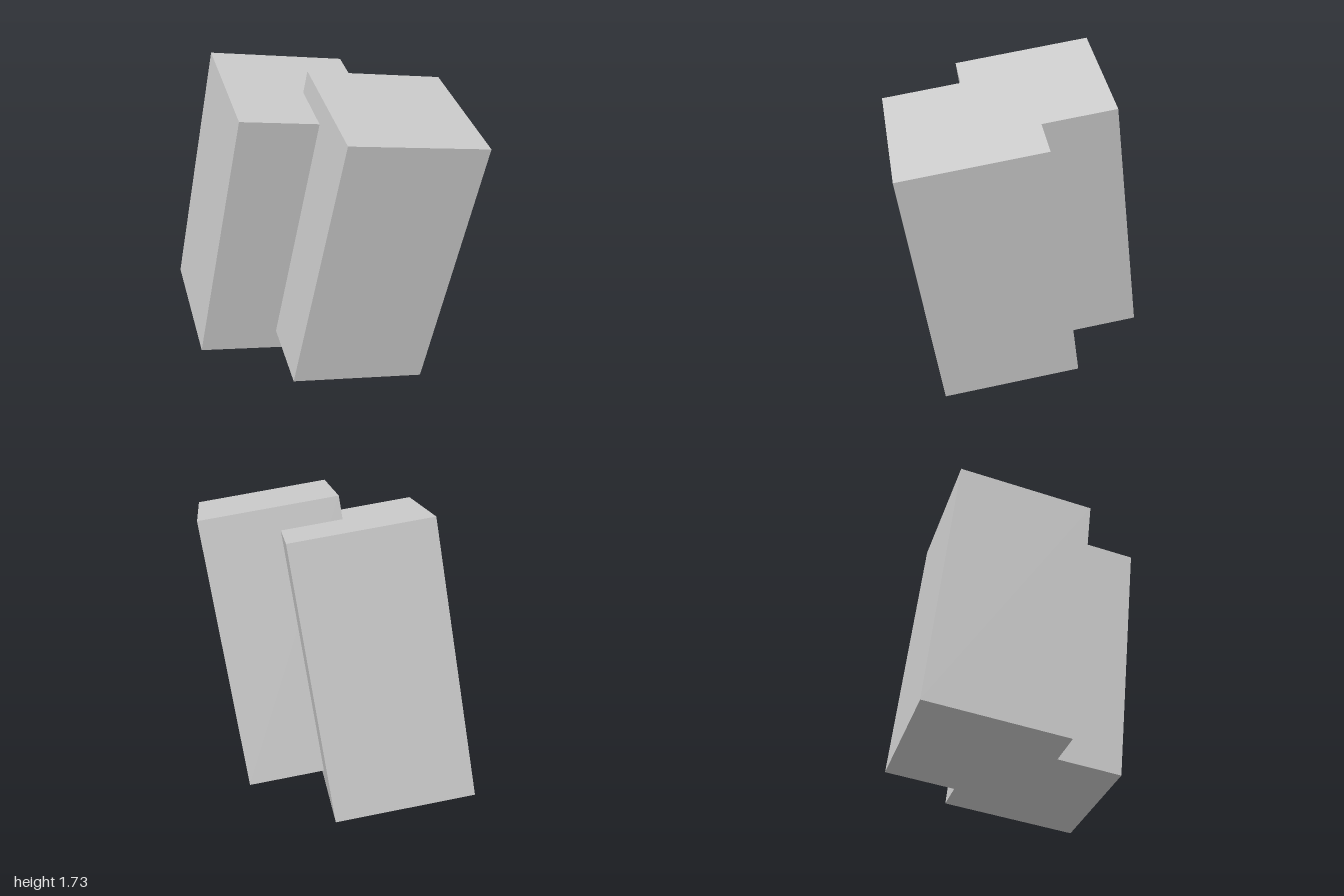
import * as THREE from 'three';

const SIDE = 0.767;
const HEIGHT = 1.534;
const TILT = THREE.MathUtils.degToRad(12);

export function createModel() {
  const model = new THREE.Group();
  model.name = 'leaningBlocks';

  const grey = new THREE.MeshStandardMaterial({ color: 0xcccccc });
  grey.name = 'lightGrey';
  const geometry = new THREE.BoxGeometry(SIDE, HEIGHT, SIDE);

  // Two square pillars, turned 45 degrees on their axis, then leaned towards +x
  for (const [name, x] of [['rightBlock', -0.31], ['leftBlock', 0.31]]) {
    const block = new THREE.Mesh(geometry, grey);
    block.name = name;
    block.position.set(x, 0.867, 0);
    block.rotation.set(0, Math.PI / 4, -TILT, 'ZYX');
    model.add(block);
  }
  return model;
}
